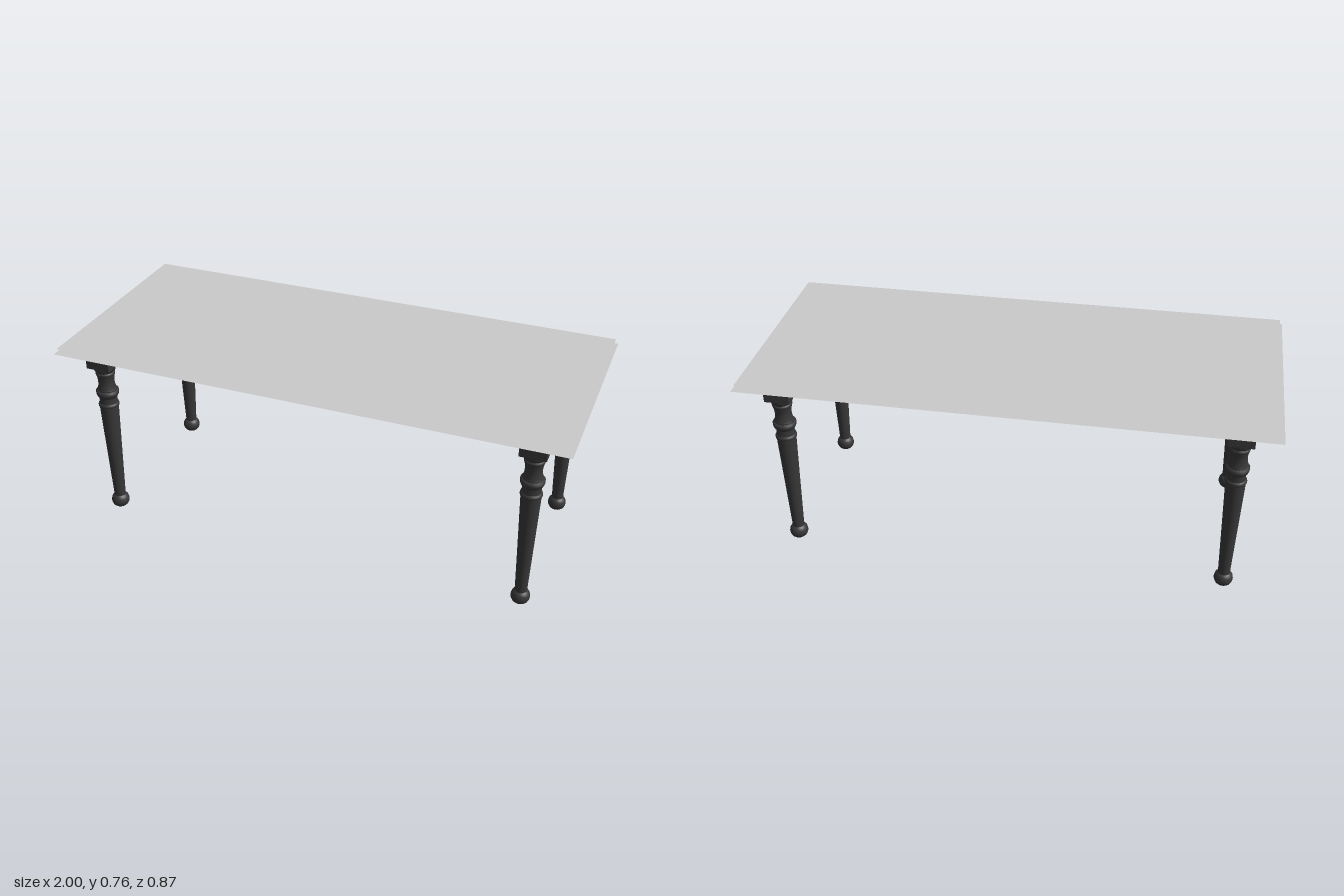
import * as THREE from 'three';
import { RoundedBoxGeometry } from 'three/addons/geometries/RoundedBoxGeometry.js';

const LEG_X = 0.856, LEG_Z = 0.321, BLOCK = 0.1, BLOCK_LOW = 0.662, BLOCK_HIGH = 0.738;

// Turned leg, bottom to top: [radius, height] runs, with a sharp edge between runs
const turnings = {
  ballFoot: [[0, 0], [0.025, 0], [0.031, 0.006], [0.0355, 0.016], [0.0365, 0.026], [0.034, 0.038], [0.029, 0.046], [0.023, 0.051]],
  taperedShaft: [[0.023, 0.051], [0.0285, 0.22], [0.0375, 0.483]],
  lowerRing: [[0.0375, 0.483], [0.0405, 0.485], [0.041, 0.491], [0.039, 0.497], [0.0355, 0.499]],
  collar: [[0.0355, 0.499], [0.0345, 0.512], [0.0355, 0.525]],
  middleRing: [[0.0355, 0.525], [0.0395, 0.529], [0.043, 0.536], [0.0445, 0.542], [0.0445, 0.553], [0.0365, 0.556]],
  smallRing: [[0.0365, 0.556], [0.0385, 0.559], [0.0365, 0.563]],
  cove: [[0.0365, 0.563], [0.033, 0.576], [0.0315, 0.594], [0.033, 0.612], [0.0385, 0.631]],
  upperRing: [[0.0385, 0.631], [0.0385, 0.635], [0.035, 0.638]],
  capital: [[0.035, 0.638], [0.039, 0.642], [0.0425, 0.65], [0.0435, 0.656], [0.0435, 0.664]],
};

export function createModel() {
  const darkWood = new THREE.MeshStandardMaterial({ color: 0x383838 });
  const paleTop = new THREE.MeshStandardMaterial({ color: 0xcacaca, side: THREE.DoubleSide });
  const model = new THREE.Group();
  model.name = 'table';

  const add = (parent, name, geometry, material, x, y, z) => {
    const mesh = new THREE.Mesh(geometry, material);
    mesh.name = name;
    mesh.position.set(x, y, z);
    parent.add(mesh);
    return mesh;
  };

  // Four turned legs with square blocks on top
  const blockHeight = BLOCK_HIGH - BLOCK_LOW;
  const blockY = (BLOCK_HIGH + BLOCK_LOW) / 2;
  const blockShape = new RoundedBoxGeometry(BLOCK, blockHeight, BLOCK, 2, 0.003);
  const turned = Object.entries(turnings).map(([name, run]) => [
    name, new THREE.LatheGeometry(run.map(([r, y]) => new THREE.Vector2(r, y)), 32),
  ]);
  for (const sx of [1, -1]) {
    for (const sz of [1, -1]) {
      const leg = new THREE.Group();
      leg.name = (sz > 0 ? 'front' : 'back') + (sx > 0 ? 'Left' : 'Right') + 'Leg';
      leg.position.set(sx * LEG_X, 0, sz * LEG_Z);
      for (const [name, shape] of turned) add(leg, name, shape, darkWood, 0, 0, 0);
      add(leg, 'legBlock', blockShape, darkWood, 0, blockY, 0);
      model.add(leg);
    }
    // Rail joining the two legs at each end
    add(model, sx > 0 ? 'leftRail' : 'rightRail',
      new THREE.BoxGeometry(0.07, blockHeight - 0.002, 2 * LEG_Z - BLOCK + 0.01),
      darkWood, sx * LEG_X, blockY, 0);
  }

  // Table top: two thin sheets with an open gap between them
  const sheet = (name, width, depth, y) => {
    add(model, name, new THREE.PlaneGeometry(width, depth).rotateX(-Math.PI / 2), paleTop, 0, y, 0);
  };
  sheet('upperSheet', 1.98, 0.86, 0.76);
  sheet('lowerSheet', 2, 0.874, 0.739);

  return model;
}
